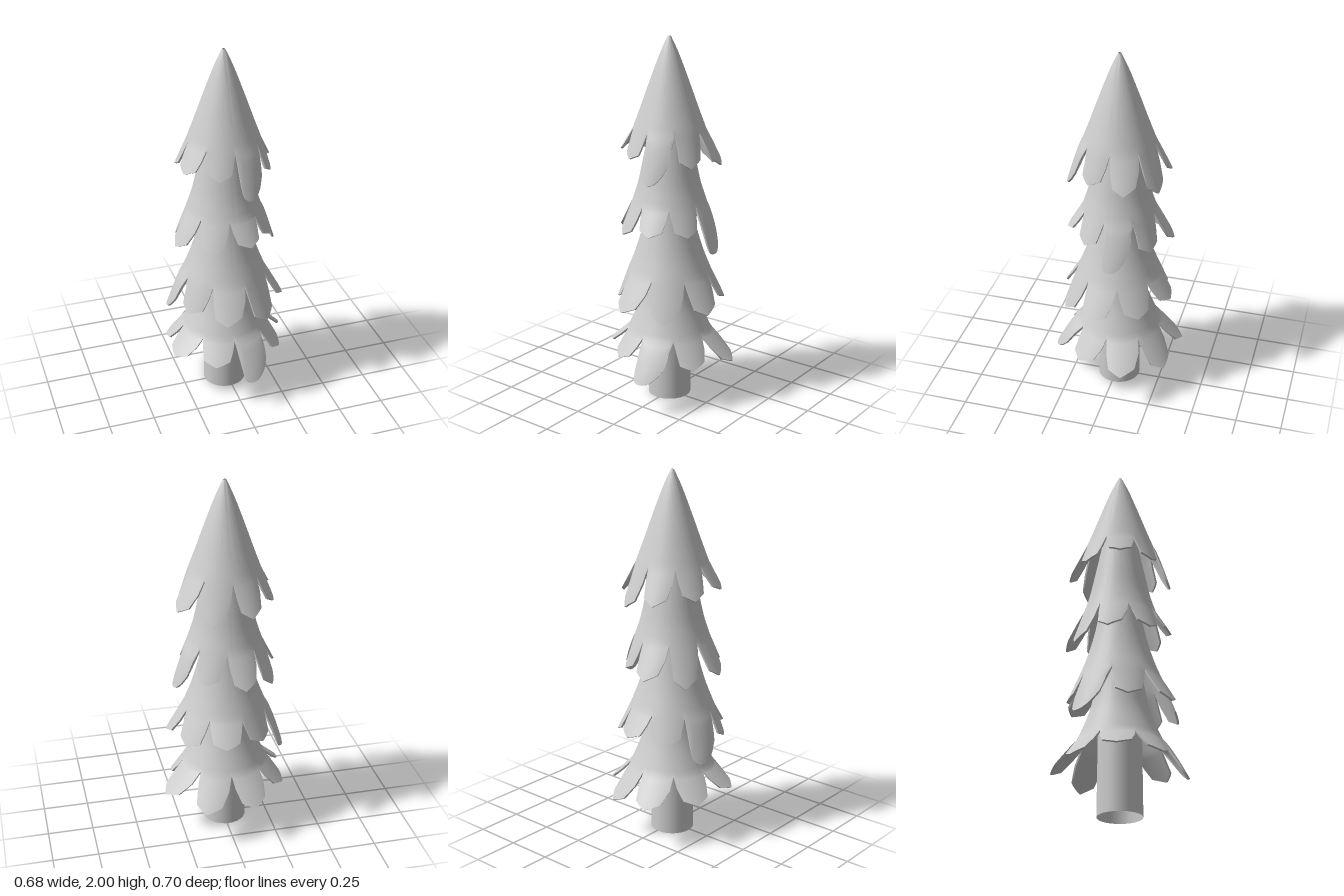
import * as THREE from 'three';
import { toCreasedNormals } from 'three/addons/utils/BufferGeometryUtils.js';

const material = new THREE.MeshStandardMaterial({ color: 0xcccccc, side: THREE.DoubleSide });
const LOBES = 8, SEGS = 12, SKIRT_ROWS = 12, LOBE_ROWS = 8, THICKNESS = 0.01;

// Hang length, tip radius and sideways lean (degrees) of each lobe;
// the first is the long drooping one
const HANG = [0.25, 0.14, 0.13, 0.16, 0.18, 0.22, 0.18, 0.17];
const REACH = [0.278, 0.245, 0.268, 0.26, 0.28, 0.27, 0.288, 0.247];
const LEAN = [10, 0, 0, 0, 4, 4, 4, 4];

// Lobe outline: blunt tongue with sharp notches at u = +-1
function lobeOutline(u, long) {
  const a = Math.abs(u);
  if (long) return Math.sqrt(Math.max(0, 1 - Math.pow(a, 2.6)));
  return a < 0.67 ? 1 - 0.3 * a : 0.8 * (1 - a) / 0.33;
}

// One tier: a skirt from the profile (radius, height), ending in a ring of lobes
function branchTier({ profile, turn, spread, hang }) {
  const curve = new THREE.CatmullRomCurve3(profile.map(([r, y]) => new THREE.Vector3(r, y, 0)));
  const [rN, yN] = profile[profile.length - 1];
  const columns = LOBES * SEGS, rows = SKIRT_ROWS + LOBE_ROWS + 1;
  const positions = [], index = [];

  for (let c = 0; c < columns; c++) {
    const k = Math.floor(c / SEGS), long = k === 0;
    const u = (c % SEGS) / SEGS * 2 - 1;
    const centre = THREE.MathUtils.degToRad(67.5 + 45 * k + turn);
    const half = Math.PI / LOBES;
    const outer = [];
    for (let i = 0; i < SKIRT_ROWS; i++) {
      const p = curve.getPoint(i / SKIRT_ROWS);
      outer.push([p.x, p.y, centre + u * half]);
    }
    for (let i = 0; i <= LOBE_ROWS; i++) {
      const t = i / LOBE_ROWS * lobeOutline(u, long);
      const out = long ? Math.pow(t, 0.8) : t;
      const r = rN + (REACH[k] * spread - rN) * out - 0.01 * u * u * t;
      const y = yN - HANG[k] * hang * t;
      // Lobes keep their width as they leave the trunk, and lean sideways
      const lean = THREE.MathUtils.degToRad(LEAN[k]) * t * t;
      const width = Math.min(1, rN / r * (long ? 1.08 : 1.22));
      outer.push([r, y, centre + u * half * width + lean]);
    }
    const inner = outer.map(([r, y, a]) => [Math.max(r - THICKNESS, 0.004), y - 0.004, a]).reverse();
    for (const [r, y, a] of [...outer, ...inner]) {
      positions.push(r * Math.cos(a), y, r * Math.sin(a));
    }
  }
  const n = rows * 2;
  for (let c = 0; c < columns; c++) {
    const d = (c + 1) % columns;
    for (let i = 0; i < n - 1; i++) {
      const a = c * n + i, b = d * n + i;
      index.push(a, b, a + 1, b, b + 1, a + 1);
    }
  }
  const geometry = new THREE.BufferGeometry();
  geometry.setAttribute('position', new THREE.Float32BufferAttribute(positions, 3));
  geometry.setIndex(index);
  return toCreasedNormals(geometry, 0.8);
}

export function createModel() {
  const tree = new THREE.Group();
  tree.name = 'pineTree';

  // Open-ended trunk
  const trunk = new THREE.Mesh(new THREE.CylinderGeometry(0.113, 0.118, 0.62, 32, 1, true), material);
  trunk.position.y = 0.31;
  trunk.name = 'trunk';
  tree.add(trunk);

  // Branch tiers from top to bottom
  const tiers = [
    { name: 'topTier', turn: 0, spread: 1, hang: 1,
      profile: [[0.008, 2], [0.045, 1.92], [0.098, 1.78], [0.155, 1.62], [0.192, 1.52]] },
    { name: 'upperTier', turn: -81, spread: 1.04, hang: 1,
      profile: [[0.09, 1.6], [0.113, 1.48], [0.138, 1.36], [0.168, 1.22], [0.2, 1.12]] },
    { name: 'lowerTier', turn: 123, spread: 1.16, hang: 0.98,
      profile: [[0.1, 1.2], [0.118, 1.1], [0.143, 0.98], [0.184, 0.84], [0.227, 0.73]] },
    { name: 'bottomTier', turn: 3, spread: 1.29, hang: 0.84,
      profile: [[0.115, 0.8], [0.133, 0.68], [0.16, 0.56], [0.193, 0.47], [0.228, 0.39]] },
  ];
  for (const tier of tiers) {
    const mesh = new THREE.Mesh(branchTier(tier), material);
    mesh.name = tier.name;
    tree.add(mesh);
  }
  for (const part of tree.children) part.position.set(-0.01, part.position.y, -0.012);
  return tree;
}
